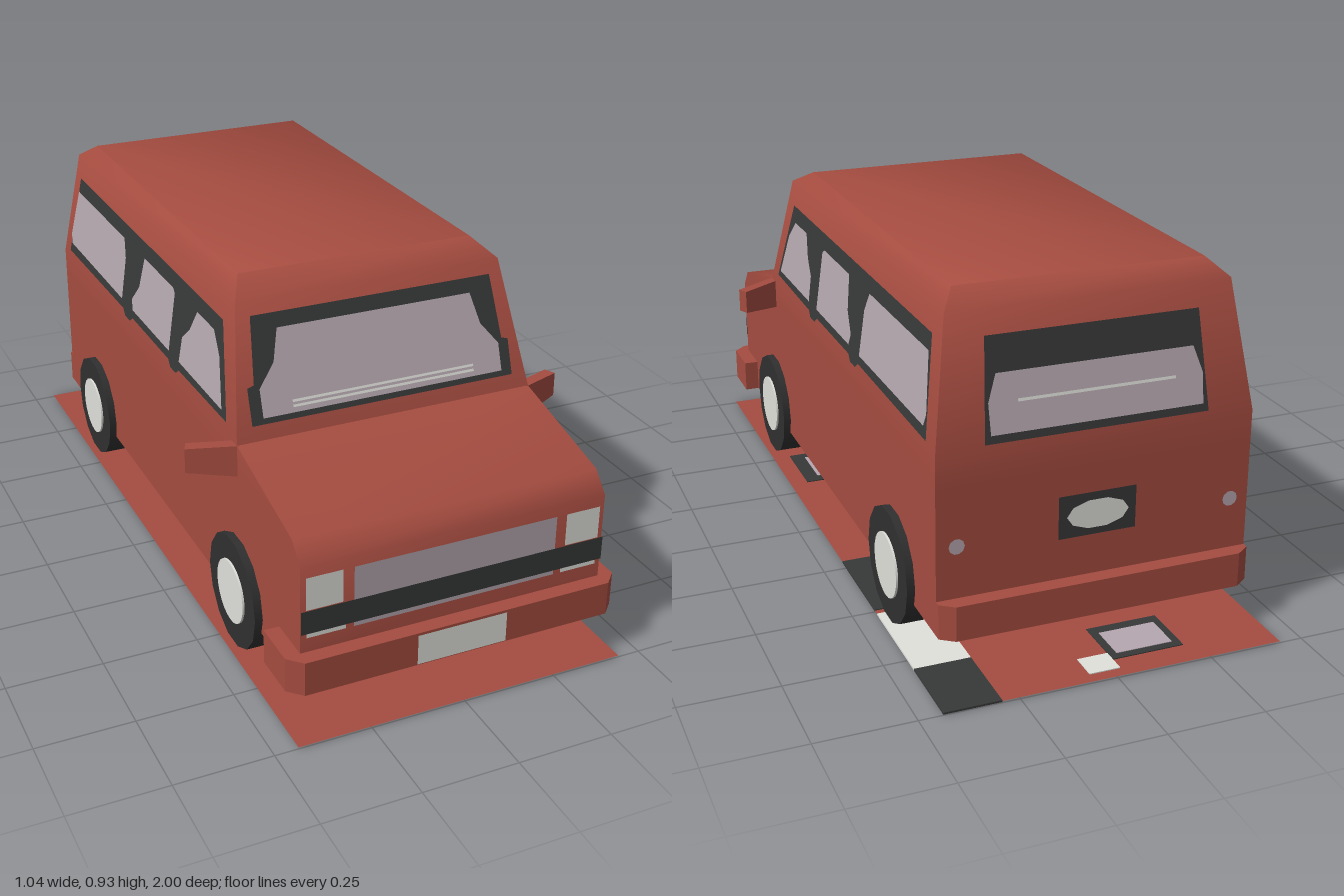
import * as THREE from 'three';
import { toCreasedNormals } from 'three/addons/utils/BufferGeometryUtils.js';

const mat = (name, color, side = THREE.DoubleSide) => {
  const m = new THREE.MeshStandardMaterial({ color, side });
  m.name = name;
  return m;
};

export function createModel() {
  const red = mat('red paint', 0xa54c40);
  const dark = mat('dark trim', 0x373838);
  const glass = mat('lilac glass', 0xb5a7af);
  const white = mat('off white', 0xe0e1db);
  const tyreBlack = mat('tyre black', 0x303030);

  const van = new THREE.Group();
  van.name = 'van';
  const add = (name, geometry, material, parent = van) => {
    const mesh = new THREE.Mesh(geometry, material);
    mesh.name = name;
    parent.add(mesh);
    return mesh;
  };

  // Body: rectangular rings stacked upward [y, half width, back z, front z]
  const rings = [
    [0.12, 0.405, -0.86, 0.93], [0.44, 0.405, -0.86, 0.93], [0.49, 0.405, -0.86, 0.885],
    [0.57, 0.405, -0.86, 0.56], [0.89, 0.36, -0.8, 0.45], [0.93, 0.32, -0.74, 0.37],
  ];
  const pos = [], idx = [];
  rings.forEach(([y, w, b, f], r) => {
    pos.push(w, y, f, w, y, b, -w, y, b, -w, y, f);
    if (r === 0) return;
    for (let i = 0; i < 4; i++) {
      const a = (r - 1) * 4 + i, c = (r - 1) * 4 + (i + 1) % 4;
      idx.push(a, c, c + 4, a, c + 4, a + 4);
    }
  });
  const t = (rings.length - 1) * 4;
  idx.push(t, t + 1, t + 2, t, t + 2, t + 3, 0, 2, 1, 0, 3, 2);
  const bodyGeo = new THREE.BufferGeometry();
  bodyGeo.setAttribute('position', new THREE.Float32BufferAttribute(pos, 3));
  bodyGeo.setIndex(idx);
  add('body', toCreasedNormals(bodyGeo, 0.85), red);

  // Painted polygons laid onto a wall by a mapping (u, y) -> point
  const panel = (name, points, material, map) => {
    const g = new THREE.ShapeGeometry(new THREE.Shape(points.map(p => new THREE.Vector2(...p))));
    const p = g.attributes.position;
    for (let i = 0; i < p.count; i++) p.setXYZ(i, ...map(p.getX(i), p.getY(i)));
    g.computeVertexNormals();
    return add(name, g, material);
  };
  const rect = (x0, x1, y0, y1) => [[x0, y0], [x1, y0], [x1, y1], [x0, y1]];
  const oval = (cx, cy, rx, ry, n = 10) => Array.from({ length: n }, (_, i) => {
    const a = (i / n) * Math.PI * 2;
    return [cx + rx * Math.cos(a), cy + ry * Math.sin(a)];
  });
  const mirrored = half => [...half, ...half.map(([x, y]) => [-x, y]).reverse()];
  const slope = (y, low, high) => low + (high - low) * Math.max(0, (y - 0.57) / 0.32);
  const side = (s, off) => (u, y) => [s * (slope(y, 0.405, 0.36) + off), y, u];
  const screen = off => (u, y) => [u, y, slope(y, 0.56, 0.45) + off];
  const rear = off => (u, y) => [-u, y, slope(y, -0.86, -0.8) - off];
  const nose = off => (u, y) => [u, y, 0.93 + off];

  // Side windows
  const band = [[0.49, 0.6], [0.40, 0.83], [-0.755, 0.83], [-0.8, 0.59], [-0.29, 0.595], [-0.27, 0.58],
    [-0.23, 0.58], [-0.21, 0.595], [0.08, 0.595], [0.1, 0.58], [0.14, 0.58], [0.16, 0.595]];
  const panes = [
    [[0.46, 0.62], [0.41, 0.74], [0.36, 0.79], [0.245, 0.79], [0.21, 0.73], [0.165, 0.69], [0.16, 0.62]],
    [[0.085, 0.62], [0.085, 0.78], [0.07, 0.79], [-0.155, 0.79], [-0.175, 0.7], [-0.22, 0.65], [-0.21, 0.62]],
    [[-0.3, 0.62], [-0.3, 0.74], [-0.325, 0.79], [-0.755, 0.79], [-0.79, 0.65], [-0.78, 0.62]],
  ];
  for (const s of [1, -1]) {
    panel('sideWindowFrame', band, dark, side(s, 0.003));
    panes.forEach(p => panel('sideWindow', p, glass, side(s, 0.006)));
  }

  // Windscreen
  panel('windscreenFrame', mirrored([[0.36, 0.607], [0.36, 0.695], [0.342, 0.7], [0.328, 0.857]]), dark, screen(0.003));
  panel('windscreen', mirrored([[0.33, 0.622], [0.33, 0.69], [0.285, 0.745], [0.265, 0.822]]), glass, screen(0.006));
  for (const y of [0.638, 0.65]) panel('wiper', rect(-0.25, 0.25, y - 0.003, y + 0.003), white, screen(0.008));

  // Rear window, plate and lamps
  panel('rearWindowFrame', mirrored([[0.285, 0.585], [0.27, 0.83]]), dark, rear(0.003));
  panel('rearWindow', mirrored([[0.27, 0.605], [0.272, 0.68], [0.25, 0.745]]), glass, rear(0.006));
  panel('rearWiper', rect(-0.2, 0.2, 0.675, 0.682), white, rear(0.008));
  panel('rearPlateFrame', rect(-0.1, 0.1, 0.315, 0.425), dark, rear(0.003));
  panel('rearPlate', oval(0, 0.37, 0.08, 0.038), white, rear(0.006));
  for (const s of [1, -1]) panel('rearLamp', oval(s * 0.355, 0.345, 0.02, 0.02), glass, rear(0.004));

  // Grille, headlights and dark strip
  panel('grille', rect(-0.27, 0.27, 0.25, 0.412), glass, nose(0.003));
  for (const s of [1, -1]) {
    panel('headlight', rect(s * 0.345 - 0.047, s * 0.345 + 0.047, 0.325, 0.412), white, nose(0.003));
    panel('lowerLamp', rect(s * 0.34 - 0.05, s * 0.34 + 0.05, 0.25, 0.27), white, nose(0.003));
  }
  panel('noseStrip', rect(-0.405, 0.405, 0.263, 0.325), dark, nose(0.006));

  // Bumpers with cut corners, drawn in plan and raised
  const bumper = (name, half) => {
    const shape = new THREE.Shape(mirrored(half).map(p => new THREE.Vector2(...p)));
    const g = new THREE.ExtrudeGeometry(shape, { depth: 0.09, bevelEnabled: false });
    g.rotateX(-Math.PI / 2).translate(0, 0.12, 0);
    add(name, g, red);
  };
  bumper('frontBumper', [[0.445, -0.81], [0.445, -0.935], [0.41, -0.97]]);
  bumper('rearBumper', [[0.405, 0.85], [0.405, 0.875], [0.37, 0.9]]);
  panel('frontPlate', rect(-0.12, 0.12, 0.125, 0.206), white, nose(0.044));

  // Wheels
  for (const s of [1, -1]) for (const z of [0.56, -0.565]) {
    const wheel = new THREE.Group();
    wheel.name = 'wheel';
    wheel.position.set(s * 0.358, 0.165, z);
    wheel.rotation.z = -s * Math.PI / 2;
    const tyre = new THREE.CylinderGeometry(0.15, 0.15, 0.135, 14);
    add('tyre', toCreasedNormals(tyre, 0.6), tyreBlack, wheel);
    add('hub', new THREE.CylinderGeometry(0.084, 0.084, 0.006, 24), white, wheel).position.y = 0.07;
    van.add(wheel);
  }

  // Swept back door mirrors, slimmer at the tip
  for (const s of [1, -1]) {
    const g = new THREE.BoxGeometry(0.13, 0.084, 0.032);
    const p = g.attributes.position;
    for (let i = 0; i < p.count; i++) if (p.getX(i) * s > 0) p.setY(i, p.getY(i) * 0.77);
    const m = add('doorMirror', g, red);
    m.position.set(s * 0.454, 0.528, 0.521);
    m.rotation.y = s * 0.43;
  }

  // Flat base sheet with painted patches seen from both sides
  add('baseSheet', new THREE.PlaneGeometry(0.88, 2).rotateX(-Math.PI / 2), red).position.y = 0.004;
  const patch = (x0, x1, z0, z1, material, h = 0.005) =>
    add('basePatch', new THREE.BoxGeometry(x1 - x0, h, z1 - z0), material)
      .position.set((x0 + x1) / 2, 0.004, (z0 + z1) / 2);
  patch(0.295, 0.44, -1, -0.8, dark);
  patch(0.295, 0.44, -0.8, -0.52, white);
  patch(0.28, 0.44, -0.5, -0.22, dark);
  patch(-0.24, 0.39, 0.3, 0.5, dark);
  for (const x of [0.27, 0.07, -0.13]) patch(x - 0.08, x + 0.08, 0.33, 0.47, glass, 0.008);
  patch(-0.29, -0.07, -0.62, -0.38, dark);
  patch(-0.27, -0.09, -0.6, -0.41, glass, 0.008);
  patch(-0.21, -0.02, -0.93, -0.78, dark);
  patch(-0.19, -0.04, -0.91, -0.81, glass, 0.008);
  patch(-0.02, 0.06, -0.97, -0.9, white);
  return van;
}
